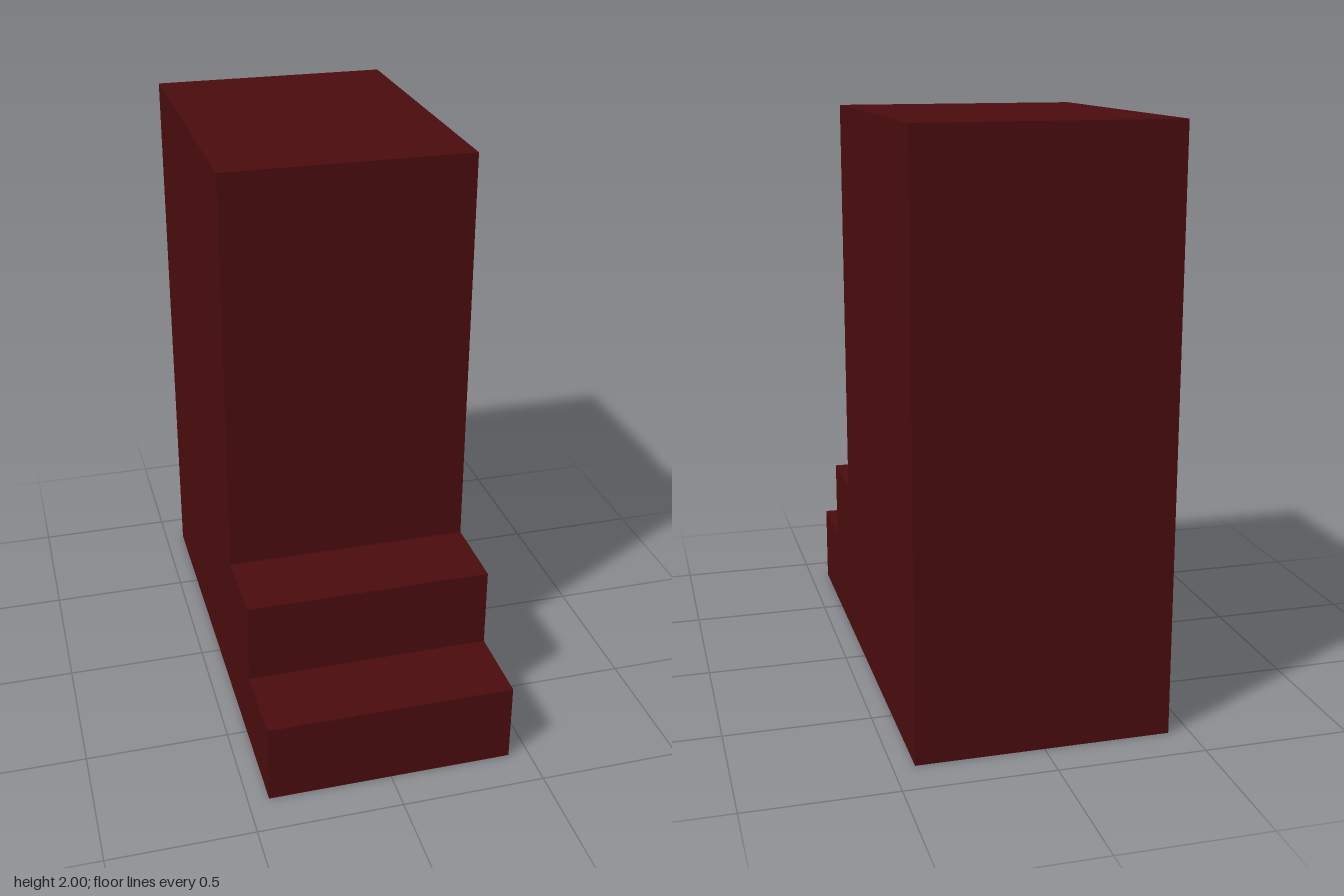
import * as THREE from 'three';

export function createModel() {
  const group = new THREE.Group();
  group.name = 'steppedBlock';
  const darkRed = new THREE.MeshStandardMaterial({ color: 0x4a0c0d });
  darkRed.name = 'darkRed';

  // Side profile on a square module: [z, y] in modules, two steps then the tower
  const u = 2 / 7;
  const profile = [[-3, 0], [3, 0], [3, 1], [2, 1], [2, 2], [1, 2], [1, 7], [-3, 7]];
  const shape = new THREE.Shape(profile.map(([z, y]) => new THREE.Vector2(z * u, y * u)));

  // Extrude across the width, centre it, then turn the profile to face +z
  const geometry = new THREE.ExtrudeGeometry(shape, { depth: 3 * u, bevelEnabled: false });
  geometry.translate(0, 0, -1.5 * u);
  geometry.rotateY(-Math.PI / 2);

  const body = new THREE.Mesh(geometry, darkRed);
  body.name = 'towerWithSteps';
  group.add(body);
  return group;
}
